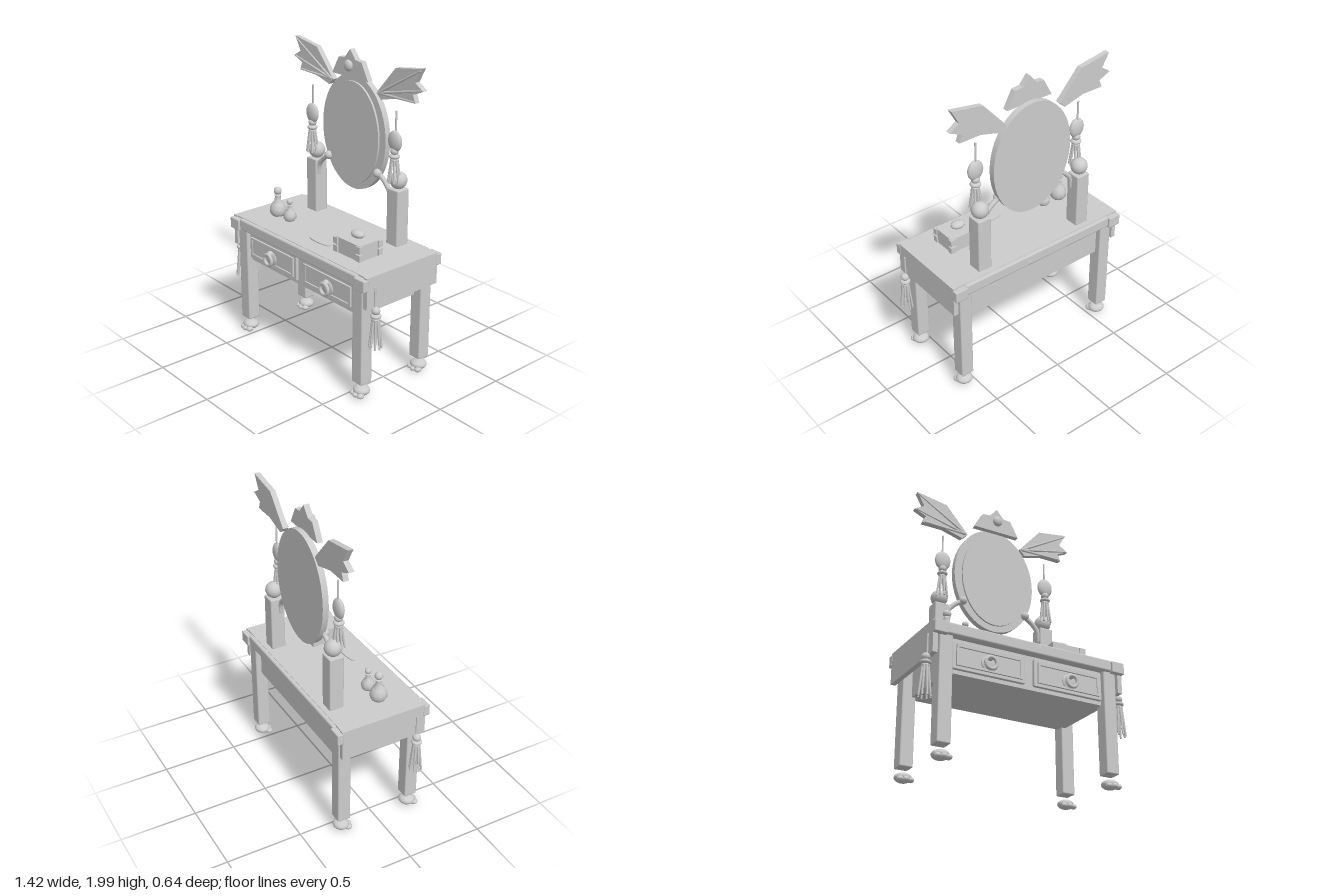
import * as THREE from 'three';
import { RoundedBoxGeometry } from 'three/addons/geometries/RoundedBoxGeometry.js';

export function createModel() {
  const root = new THREE.Group();
  root.name = 'dressingTable';
  const grey = new THREE.MeshStandardMaterial({ color: 0xcccccc });
  grey.name = 'pale grey';

  // Helpers
  const add = (name, geometry, x = 0, y = 0, z = 0, parent = root) => {
    const m = new THREE.Mesh(geometry, grey);
    m.name = name;
    m.position.set(x, y, z);
    parent.add(m);
    return m;
  };
  // Box from its two opposite corners, optionally with softened edges
  const box = (name, x0, x1, y0, y1, z0, z1, parent = root, r = 0) => {
    const s = [x1 - x0, y1 - y0, z1 - z0];
    const g = r ? new RoundedBoxGeometry(...s, 1, r) : new THREE.BoxGeometry(...s);
    return add(name, g, (x0 + x1) / 2, (y0 + y1) / 2, (z0 + z1) / 2, parent);
  };
  const ball = (name, x, y, z, rx, ry = rx, rz = rx, parent = root) =>
    add(name, new THREE.SphereGeometry(1, 16, 12).scale(rx, ry, rz), x, y, z, parent);
  const rod = (name, a, b, r0, r1 = r0, parent = root) => {
    const p = new THREE.Vector3(...a), q = new THREE.Vector3(...b);
    const d = q.clone().sub(p);
    const m = add(name, new THREE.CylinderGeometry(r1, r0, d.length(), 8), 0, 0, 0, parent);
    m.position.copy(p).add(q).multiplyScalar(0.5);
    m.quaternion.setFromUnitVectors(new THREE.Vector3(0, 1, 0), d.normalize());
    return m;
  };
  const plate = (name, points, z, depth) => {
    const shape = new THREE.Shape(points.map(([x, y]) => new THREE.Vector2(x, y)));
    return add(name, new THREE.ExtrudeGeometry(shape, { depth, bevelEnabled: false }), 0, 0, z);
  };
  const tassel = (x, y, z, length) => {
    const g = new THREE.Group();
    g.name = 'tassel';
    g.position.set(x, y, z);
    root.add(g);
    ball('tasselBead', 0, -0.025, 0, 0.027, 0.025, 0.027, g);
    ball('tasselKnot', 0, -0.058, 0, 0.034, 0.018, 0.034, g);
    ball('tasselCap', 0, -0.08, 0, 0.026, 0.016, 0.026, g);
    for (let i = 0; i < 8; i++) {
      const a = (i / 8) * Math.PI * 2, c = Math.cos(a), s = Math.sin(a);
      rod('tasselStrand', [c * 0.018, -0.08, s * 0.018], [c * 0.038, -0.08 - length, s * 0.038], 0.008, 0.006, g);
    }
  };

  // Table top, rails and body
  box('tableTop', -0.63, 0.63, 0.76, 0.835, -0.285, 0.285);
  box('body', -0.55, 0.55, 0.54, 0.77, -0.25, 0.25);
  for (const s of [-1, 1]) {
    box('edgeRail', -0.575, 0.575, 0.757, 0.832, s * 0.29 - 0.02, s * 0.29 + 0.02, root, 0.012);
    box('endPanel', s * 0.64 - 0.016, s * 0.64 + 0.016, 0.63, 0.835, -0.288, 0.292);
  }

  // Corner blocks, legs and paw feet
  for (const sx of [-1, 1]) for (const sz of [-1, 1]) {
    const x = sx * 0.567, z = sz * 0.245;
    box('cornerBlock', sx * 0.614 - 0.045, sx * 0.614 + 0.045, 0.75, 0.825, sz * 0.3 - 0.022, sz * 0.3 + 0.022, root, 0.006);
    box('leg', x - 0.044, x + 0.044, 0.1, 0.77, z - 0.044, z + 0.044, root, 0.008);
    ball('paw', x, 0.042, z, 0.055, 0.031, 0.052);
    for (const t of [-1, 0, 1])
      ball('toe', x + t * 0.034, 0.024, z + 0.045 - Math.abs(t) * 0.008, 0.02, 0.017, 0.024);
  }

  // Drawers with ring pulls
  for (const s of [-1, 1]) {
    const x = s * 0.274;
    box('drawerFront', x - 0.243, x + 0.243, 0.565, 0.74, 0.245, 0.268, root, 0.005);
    box('drawerPanel', x - 0.205, x + 0.205, 0.605, 0.7, 0.266, 0.274);
    for (const t of [-1, 1]) {
      box('drawerMoulding', x - 0.22, x + 0.22, 0.6525 + t * 0.058 - 0.008, 0.6525 + t * 0.058 + 0.008, 0.262, 0.28);
      box('drawerMoulding', x + t * 0.212 - 0.008, x + t * 0.212 + 0.008, 0.5945, 0.7105, 0.262, 0.28);
    }
    ball('pullBoss', s * 0.28, 0.672, 0.285, 0.02, 0.02, 0.022);
    ball('pullPlate', s * 0.28, 0.637, 0.274, 0.055, 0.05, 0.012);
    add('pullRing', new THREE.TorusGeometry(0.037, 0.011, 8, 20), s * 0.28, 0.635, 0.302);
  }

  // Mirror
  add('mirrorFrame', new THREE.CylinderGeometry(1, 1, 0.04, 48).rotateX(Math.PI / 2).scale(0.293, 0.372, 1), 0, 1.467, -0.198);
  add('mirrorGlass', new THREE.CylinderGeometry(1, 1, 0.014, 48).rotateX(Math.PI / 2).scale(0.241, 0.33, 1), 0, 1.467, -0.172);

  // Crest and gem
  plate('crest', [[-0.165, 1.825], [0.165, 1.825], [0.105, 1.935], [0.05, 1.94],
    [0, 2], [-0.05, 1.94], [-0.105, 1.935]], -0.182, 0.037);
  ball('crestGem', 0, 1.9, -0.132, 0.034, 0.036, 0.022);

  // Wings with raised ribs
  const wing = [[0.2, 1.765], [0.24, 1.727], [0.38, 1.765], [0.53, 1.765], [0.51, 1.815],
    [0.59, 1.85], [0.525, 1.89], [0.575, 1.98], [0.36, 1.945]];
  for (const s of [-1, 1]) {
    plate('wing', wing.map(([x, y]) => [s * x, y]), -0.218, 0.035);
    for (const [x, y] of [[0.565, 1.967], [0.575, 1.85], [0.52, 1.772]])
      rod('wingRib', [s * 0.215, 1.765, -0.184], [s * x, y, -0.184], 0.01, 0.006);
  }

  // Posts, mirror arms and tassels
  for (const s of [-1, 1]) {
    const x = s * 0.387;
    box('post', x - 0.048, x + 0.048, 0.83, 1.2, -0.25, -0.152, root, 0.008);
    ball('postBall', x, 1.25, -0.203, 0.055);
    const path = new THREE.CatmullRomCurve3([[0.345, 1.1], [0.335, 1.165], [0.29, 1.22], [0.232, 1.26]]
      .map(([px, py]) => new THREE.Vector3(s * px, py, -0.18)));
    add('mirrorArm', new THREE.TubeGeometry(path, 12, 0.016, 8));
    ball('armBall', s * 0.232, 1.26, -0.172, 0.028);
    rod('pendantCord', [x, 1.55, -0.172], [x, 1.695, -0.172], 0.006);
    ball('pendant', x, 1.507, -0.166, 0.055, 0.066, 0.026);
    tassel(x, 1.47, -0.165, 0.145);
    rod('sideCord', [s * 0.66, 0.62, 0.23], [s * 0.66, 0.765, 0.23], 0.006);
    tassel(s * 0.668, 0.64, 0.23, 0.19);
  }

  // Perfume bottles
  const profile = [[0, 0], [0.75, 0], [1, 0.4], [1, 0.95], [0.75, 1.5], [0.4, 1.9], [0.35, 2.5], [0.45, 2.65], [0, 2.65]];
  for (const [x, r] of [[-0.463, 0.055], [-0.337, 0.042]]) {
    add('bottle', new THREE.LatheGeometry(profile.map(([a, b]) => new THREE.Vector2(a * r, b * r)), 10), x, 0.833, 0.072);
    ball('bottleStopper', x, 0.833 + r * 3.1, 0.072, r * 0.48);
  }

  // Trinket box
  const bx = 0.345, bz = 0.087;
  box('boxBase', bx - 0.11, bx + 0.11, 0.833, 0.888, bz - 0.083, bz + 0.083);
  box('boxLid', bx - 0.112, bx + 0.112, 0.885, 0.938, bz - 0.085, bz + 0.085);
  for (const sx of [-1, 1]) for (const sz of [-1, 1]) for (const y of [0.84, 0.893]) {
    const cx = bx + sx * 0.101, cz = bz + sz * 0.079;
    box('boxCorner', cx - 0.02, cx + 0.02, y, y + 0.042, cz - 0.016, cz + 0.016);
  }
  ball('boxKnob', bx, 0.962, bz, 0.05, 0.025, 0.037);

  // Small oval tray on the table top
  add('ovalTray', new THREE.CylinderGeometry(1, 1, 0.009, 32).scale(0.1, 1, 0.026), 0.062, 0.838, 0.15);
  return root;
}
